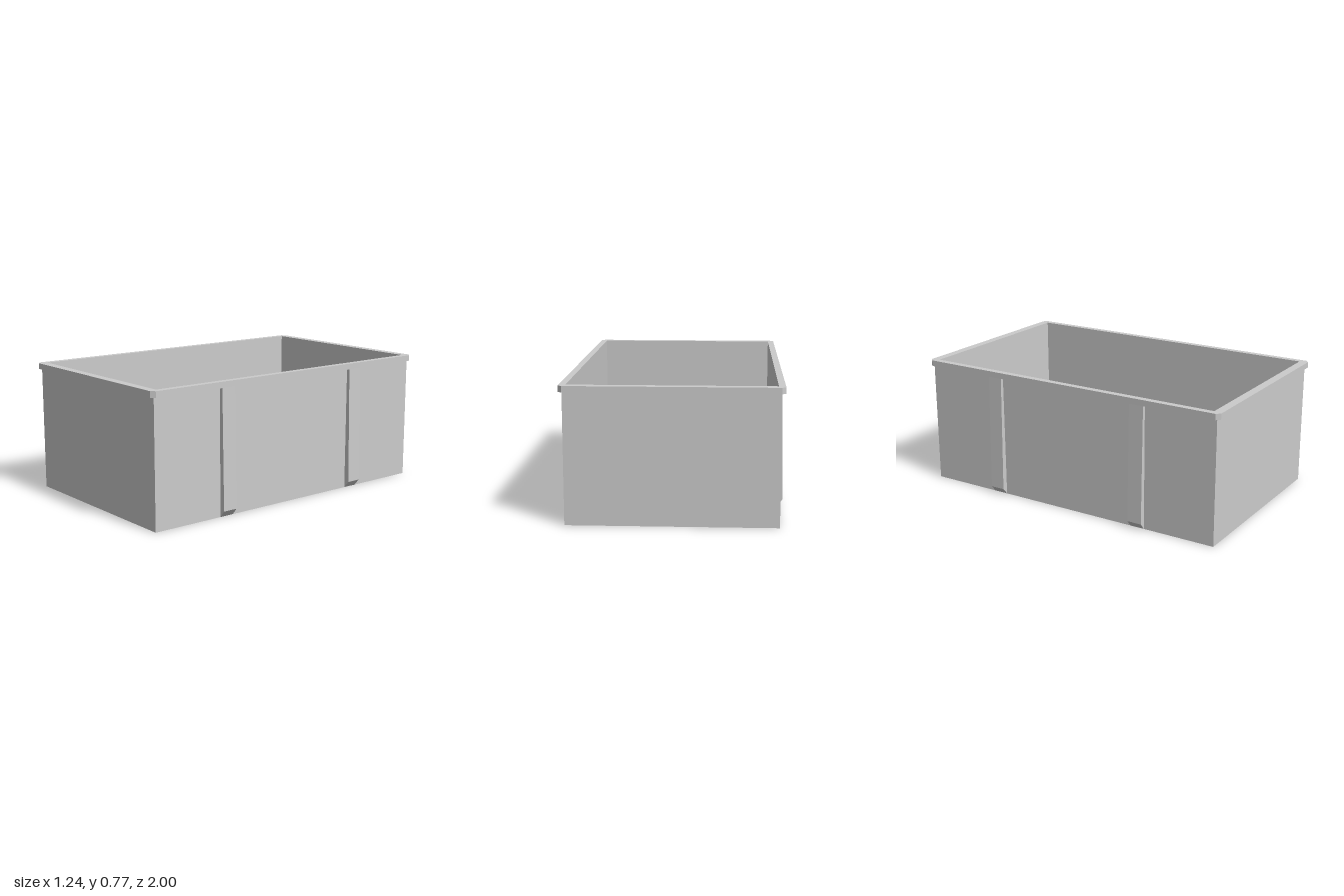
import * as THREE from 'three';

const material = new THREE.MeshStandardMaterial({ color: 0xcccccc, flatShading: true });

const BODY = [0.588, 0.978], RIM = [0.608, 1.0], INNER = [0.57, 0.95];
const RIM_BOTTOM = 0.74, TOP = 0.775, FLOOR = 0.18, CHAMFER = 0.022;

// Rectangular loop with cut corners, counter-clockwise seen from above
function loop([hx, hz], y, c = 0) {
  const quarter = [[hx, hz - c], [hx, c - hz], [hx - c, -hz], [c - hx, -hz]];
  return [...quarter, ...quarter.map(([x, z]) => [-x, -z])]
    .map(([x, z]) => new THREE.Vector3(x, y, z));
}

// Skin between successive loops, skipping collapsed triangles
function loft(name, loops) {
  const points = [];
  const tri = new THREE.Triangle();
  const add = (a, b, c) => {
    if (tri.set(a, b, c).getArea() > 1e-7) points.push(a, b, c);
  };
  for (let i = 0; i + 1 < loops.length; i++) {
    const lower = loops[i], upper = loops[i + 1], n = lower.length;
    for (let j = 0; j < n; j++) {
      const k = (j + 1) % n;
      add(lower[j], lower[k], upper[k]);
      add(lower[j], upper[k], upper[j]);
    }
  }
  const geometry = new THREE.BufferGeometry().setFromPoints(points);
  geometry.computeVertexNormals();
  const mesh = new THREE.Mesh(geometry, material);
  mesh.name = name;
  return mesh;
}

// Tapered side rib with a bevelled foot; side is +1 (left) or -1 (right)
function makeRib(side, z) {
  const profile = [[BODY[0], 0], [0.622, 0.04], [RIM[0], RIM_BOTTOM], [BODY[0], RIM_BOTTOM]];
  const shape = new THREE.Shape(profile.map(([x, y]) => new THREE.Vector2(side * x, y)));
  const width = 0.09;
  const geometry = new THREE.ExtrudeGeometry(shape, { depth: width, bevelEnabled: false });
  geometry.translate(0, 0, z - width / 2);
  const mesh = new THREE.Mesh(geometry, material);
  mesh.name = (side > 0 ? 'left' : 'right') + (z > 0 ? 'Front' : 'Back') + 'Rib';
  return mesh;
}

export function createModel() {
  const group = new THREE.Group();
  group.name = 'storageBin';

  // Underside and outer walls
  group.add(loft('outerWalls', [loop([0, 0], 0), loop(BODY, 0), loop(BODY, RIM_BOTTOM)]));

  // Overhanging lip with clipped corners
  group.add(loft('rim', [
    loop(BODY, RIM_BOTTOM),
    loop(RIM, RIM_BOTTOM, CHAMFER),
    loop(RIM, TOP, CHAMFER),
    loop(INNER, TOP),
  ]));

  // Inner walls and raised floor
  group.add(loft('interior', [loop(INNER, TOP), loop(INNER, FLOOR), loop([0, 0], FLOOR)]));

  // Two ribs on each long side
  for (const side of [1, -1]) {
    for (const z of [0.49, -0.49]) group.add(makeRib(side, z));
  }
  return group;
}
